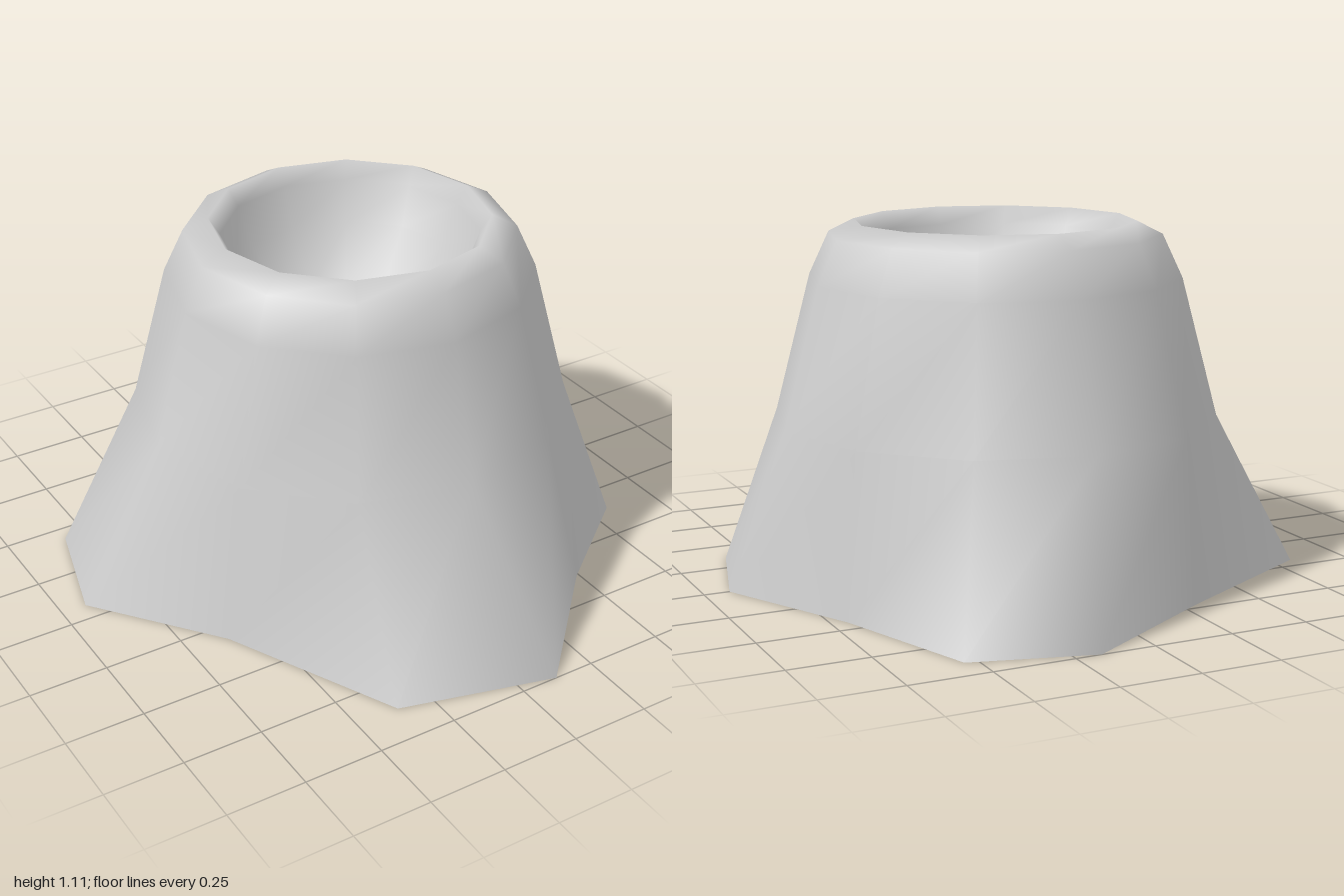
import * as THREE from 'three';

const SIDES = 12;
const CX = 0.06, CZ = -0.07; // axis of the cone and crater

// Irregular foot of the cone on the ground, from +x round towards +z
const FOOT = [
  [0.92, 0], [0.82, 0.36], [0.49, 0.62], [0.12, 1], [-0.36, 0.87], [-0.62, 0.32],
  [-0.92, -0.07], [-0.82, -0.44], [-0.3, -0.72], [0.17, -1], [0.54, -0.9], [0.7, -0.44],
];

// Regular rings [radius, height]: up the slope, over the rim, down into the crater
const RINGS = [
  [0.695, 0.5], [0.583, 0.93], [0.52, 1.065], [0.44, 1.105],
  [0.405, 1.05], [0.36, 0.92], [0.24, 0.76],
];
const FLOOR_Y = 0.7;

function createCone() {
  const pos = [], index = [];
  FOOT.forEach(([x, z]) => pos.push(x, 0, z));
  for (const [r, y] of RINGS) {
    for (let i = 0; i < SIDES; i++) {
      const a = (i / SIDES) * Math.PI * 2;
      pos.push(CX + r * Math.cos(a), y, CZ + r * Math.sin(a));
    }
  }
  const floor = pos.length / 3;
  pos.push(CX, FLOOR_Y, CZ);

  // Skin neighbouring rings, sharing vertices for smooth normals
  for (let k = 0; k < RINGS.length; k++) {
    for (let i = 0; i < SIDES; i++) {
      const j = (i + 1) % SIDES;
      const a = k * SIDES + i, b = k * SIDES + j;
      index.push(a, a + SIDES, b, b, a + SIDES, b + SIDES);
    }
  }
  // Crater floor
  const last = RINGS.length * SIDES;
  for (let i = 0; i < SIDES; i++) index.push(last + i, floor, last + ((i + 1) % SIDES));

  const geo = new THREE.BufferGeometry();
  geo.setAttribute('position', new THREE.Float32BufferAttribute(pos, 3));
  geo.setIndex(index);
  geo.computeVertexNormals();
  return geo;
}

export function createModel() {
  const group = new THREE.Group();
  group.name = 'volcano';
  // Hollow shell, open underneath
  const cone = new THREE.Mesh(
    createCone(),
    new THREE.MeshStandardMaterial({ color: 0xcccccc, side: THREE.DoubleSide })
  );
  cone.name = 'craterCone';
  group.add(cone);
  return group;
}
